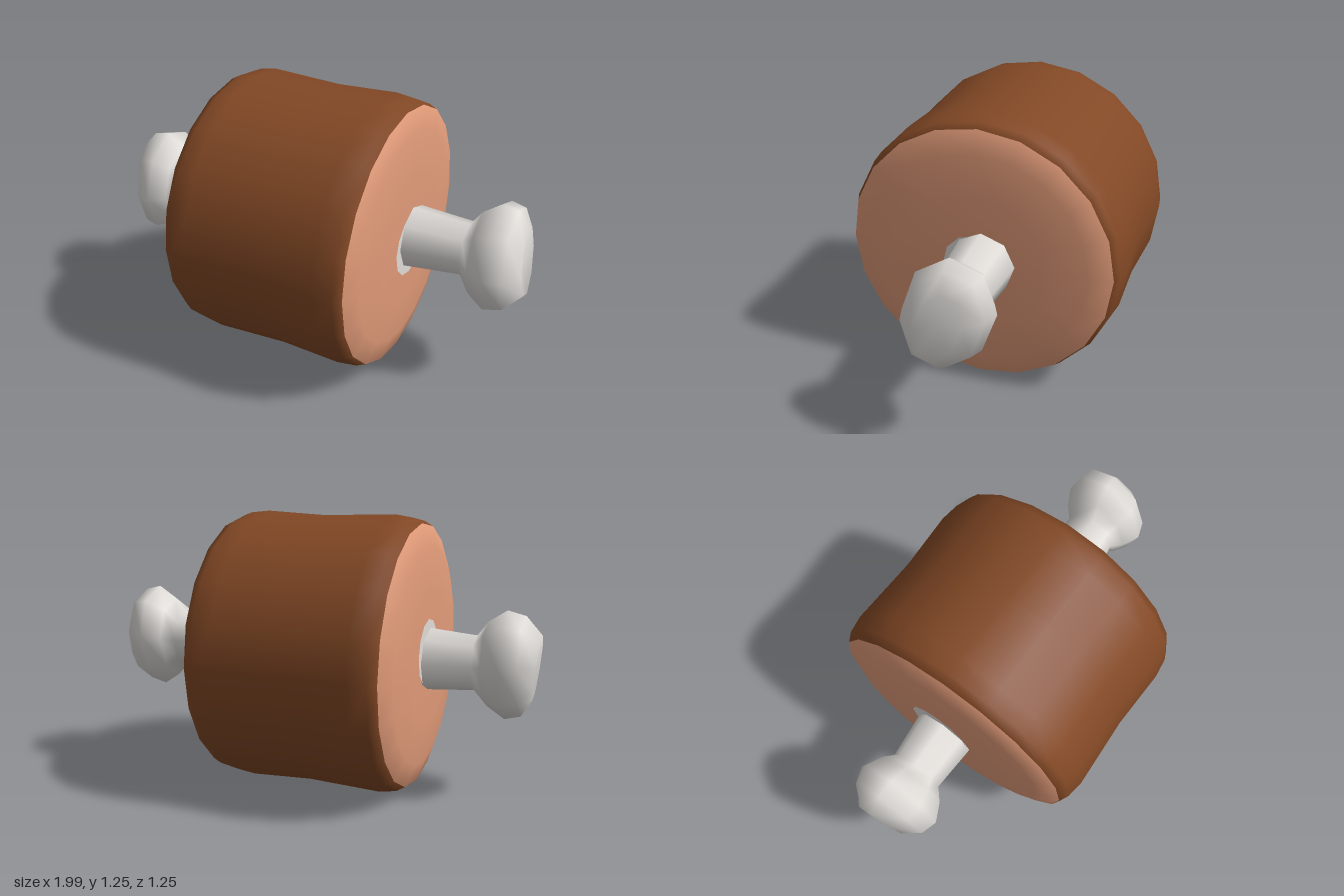
import * as THREE from 'three';

const brown = new THREE.MeshStandardMaterial({ color: 0x824825 });
brown.name = 'roasted skin';
const pink = new THREE.MeshStandardMaterial({ color: 0xe09a78 });
pink.name = 'cut meat';
const white = new THREE.MeshStandardMaterial({ color: 0xdedbd7 });
white.name = 'bone';

const MID_Y = 0.63;

// Drum of meat: profile of [x, radius] turned around the x axis, cut faces at both ends
function createMeat() {
  const profile = [
    [-0.497, 0], [-0.497, 0.3], [-0.485, 0.49], [-0.45, 0.588],
    [-0.41, 0.611], [-0.33, 0.623], [0, 0.609], [0.28, 0.621], [0.37, 0.61], [0.41, 0.592],
    [0.437, 0.49], [0.45, 0.3], [0.45, 0],
  ];
  const sides = 20, capBands = 3, bands = profile.length - 1;
  const geo = new THREE.LatheGeometry(profile.map(([x, r]) => new THREE.Vector2(r, x)), sides);
  geo.rotateZ(-Math.PI / 2);

  // The bands touching the axis have one triangle per side when degenerates are skipped,
  // so the material is picked per triangle from its average position along x
  const index = geo.index, pos = geo.attributes.position;
  const skinStart = profile[capBands][0], skinEnd = profile[bands - capBands][0];
  for (let i = 0; i < index.count; i += 3) {
    const x = (pos.getX(index.getX(i)) + pos.getX(index.getX(i + 1)) + pos.getX(index.getX(i + 2))) / 3;
    const material = x > skinStart && x < skinEnd ? 0 : 1;
    const last = geo.groups[geo.groups.length - 1];
    if (last && last.materialIndex === material) last.count += 3;
    else geo.addGroup(i, 3, material);
  }
  const meat = new THREE.Mesh(geo, [brown, pink]);
  meat.name = 'meat';
  meat.position.y = MID_Y;
  return meat;
}

// Bone: eight-sided oval rings lofted along x, with a two-lobed knob at each end
function createBone() {
  // [distance from middle, long radius, short radius, lobe shift]
  const half = [
    [0.45, 0.143, 0.143, 0], [0.71, 0.122, 0.122, 0], [0.76, 0.195, 0.16, 0],
    [0.84, 0.252, 0.195, 0], [0.915, 0.235, 0.17, 0.006], [0.975, 0.155, 0.095, 0.019],
  ];
  const rings = [
    ...half.map(([x, a, b, s]) => [-x, a, b, s]).reverse(),
    ...half,
  ];
  const sides = 8, tilt = 0.35;
  const verts = [], index = [];
  const centre = (x) => [0.625 + 0.008 * x, -0.02 - 0.025 * x];

  for (const [x, a, b, shift] of rings) {
    const [cy, cz] = centre(x);
    for (let j = 0; j < sides; j++) {
      const t = ((j + 0.5) / sides) * Math.PI * 2;
      const u = a * Math.cos(t), w = b * Math.sin(t);
      verts.push(
        x - shift * Math.cos(t),
        cy + u * Math.cos(tilt) + w * Math.sin(tilt),
        cz - u * Math.sin(tilt) + w * Math.cos(tilt),
      );
    }
  }
  for (let i = 0; i < rings.length - 1; i++) {
    for (let j = 0; j < sides; j++) {
      const k = (j + 1) % sides;
      const p = i * sides, q = p + sides;
      index.push(p + j, p + k, q + k, p + j, q + k, q + j);
    }
  }
  // Dented ends between the lobes
  const startPole = rings.length * sides, endPole = startPole + 1, lastRing = startPole - sides;
  verts.push(-0.95, ...centre(-0.95), 0.95, ...centre(0.95));
  for (let j = 0; j < sides; j++) {
    const k = (j + 1) % sides;
    index.push(k, j, startPole, lastRing + j, lastRing + k, endPole);
  }
  const geo = new THREE.BufferGeometry();
  geo.setAttribute('position', new THREE.Float32BufferAttribute(verts, 3));
  geo.setIndex(index);
  geo.computeVertexNormals();
  const bone = new THREE.Mesh(geo, white);
  bone.name = 'bone';
  return bone;
}

// Pale ring of bone showing on each cut face
function createSocket(name, x, y, z) {
  const socket = new THREE.Mesh(new THREE.CircleGeometry(0.15, 12), white);
  socket.name = name;
  socket.rotation.y = Math.sign(x) * Math.PI / 2;
  socket.position.set(x, y, z);
  return socket;
}

export function createModel() {
  const model = new THREE.Group();
  model.name = 'meat on the bone';
  model.add(
    createMeat(),
    createBone(),
    createSocket('leftSocket', 0.453, 0.605, 0),
    createSocket('rightSocket', -0.5, 0.655, -0.03),
  );
  return model;
}
